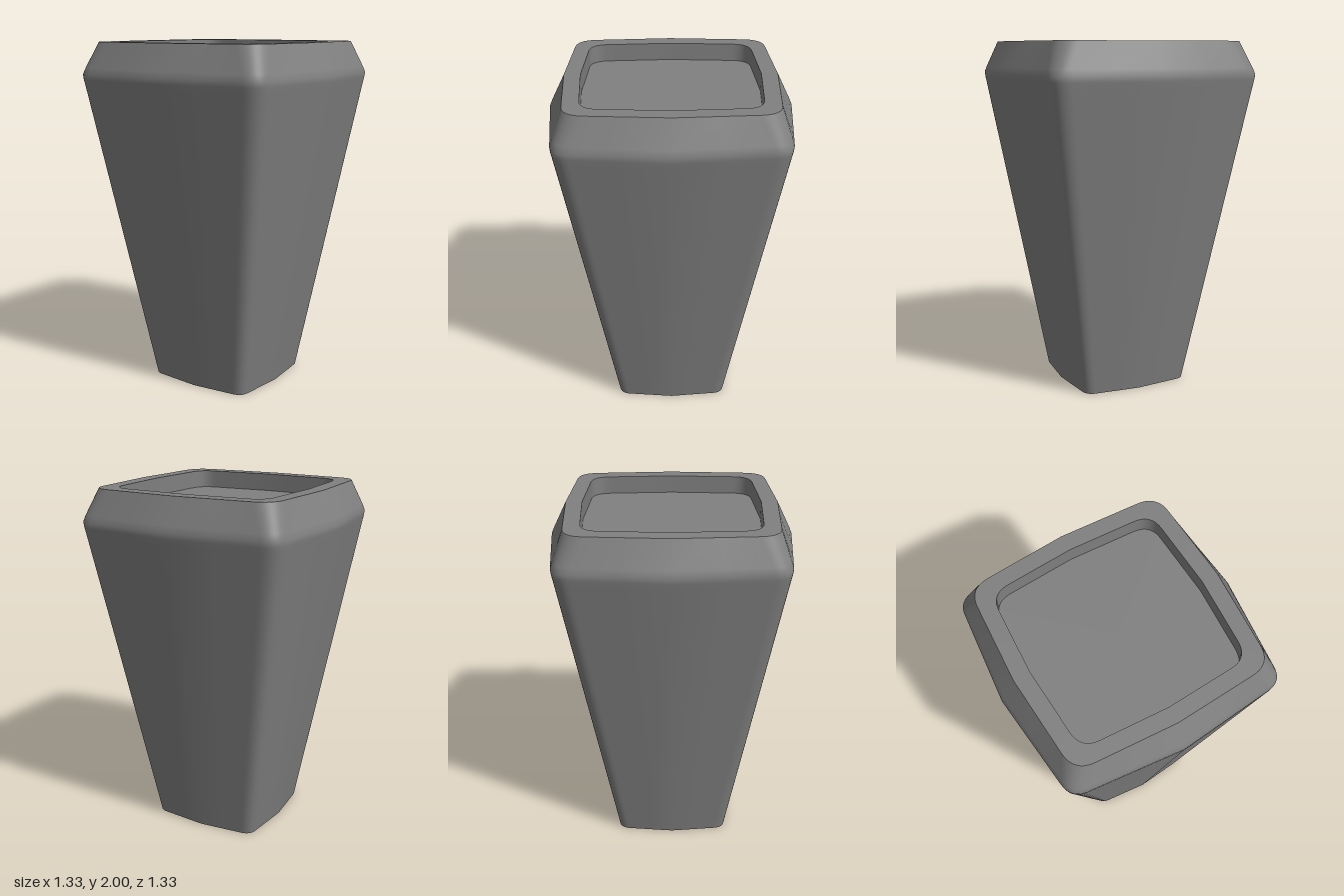
import * as THREE from 'three';

// Rounded square outline whose sides peak at their middle.
// mid: distance to the side middle, run: where the corner starts, drop: how far the side falls by then
function outline({ y, mid, run, drop, scale = 1 }) {
  const edge = mid - drop;
  const tip = mid / (1 + drop / run); // where neighbouring sides would meet
  const corner = new THREE.QuadraticBezierCurve(
    new THREE.Vector2(run, edge), new THREE.Vector2(tip, tip), new THREE.Vector2(edge, run));
  const quarter = [];
  for (const t of [0, 0.5, 0.9]) quarter.push([run * t, mid - drop * t]);
  for (const p of corner.getPoints(10)) quarter.push([p.x, p.y]);
  for (const t of [0.9, 0.5]) quarter.push([mid - drop * t, run * t]);
  const points = [];
  for (let q = 0; q < 4; q++) {
    for (const [x, z] of quarter) {
      const [px, pz] = [[x, z], [z, -x], [-x, -z], [-z, x]][q];
      points.push([px * scale, y, pz * scale]);
    }
  }
  return points;
}

// Smooth skin across successive outlines
function loft(name, sections, material) {
  const rings = sections.map(outline);
  const n = rings[0].length;
  const index = [];
  for (let j = 0; j < rings.length - 1; j++) {
    for (let i = 0; i < n; i++) {
      const k = (i + 1) % n;
      const a = j * n + i, b = j * n + k, c = b + n, d = a + n;
      index.push(a, b, c, a, c, d);
    }
  }
  const geometry = new THREE.BufferGeometry();
  geometry.setAttribute('position', new THREE.Float32BufferAttribute(rings.flat(2), 3));
  geometry.setIndex(index);
  geometry.computeVertexNormals();
  const mesh = new THREE.Mesh(geometry, material);
  mesh.name = name;
  return mesh;
}

export function createModel() {
  const group = new THREE.Group();
  group.name = 'taperedPlanter';
  const material = new THREE.MeshStandardMaterial({ color: 0x808080 });

  const foot = { y: 0, mid: 0.35, run: 0.262, drop: 0.025 };
  const shoulder = [
    { y: 1.755, mid: 0.657, run: 0.512, drop: 0.05 },
    { y: 1.79, mid: 0.664, run: 0.518, drop: 0.051 },
    { y: 1.82, mid: 0.667, run: 0.52, drop: 0.051 },
    { y: 1.855, mid: 0.652, run: 0.508, drop: 0.047 },
  ];
  const rim = { y: 2, mid: 0.58, run: 0.435, drop: 0.026 };
  const mouth = { y: 2, mid: 0.49, run: 0.365, drop: 0.02 };
  const floor = { ...mouth, y: 1.9 };

  // Each part is separate so the edges between them stay crisp
  group.add(
    loft('base', [{ ...foot, scale: 0 }, foot], material),
    loft('body', [foot, ...shoulder, rim], material),
    loft('rim', [rim, mouth], material),
    loft('recessWall', [mouth, floor], material),
    loft('recessFloor', [floor, { ...floor, scale: 0 }], material),
  );
  return group;
}
